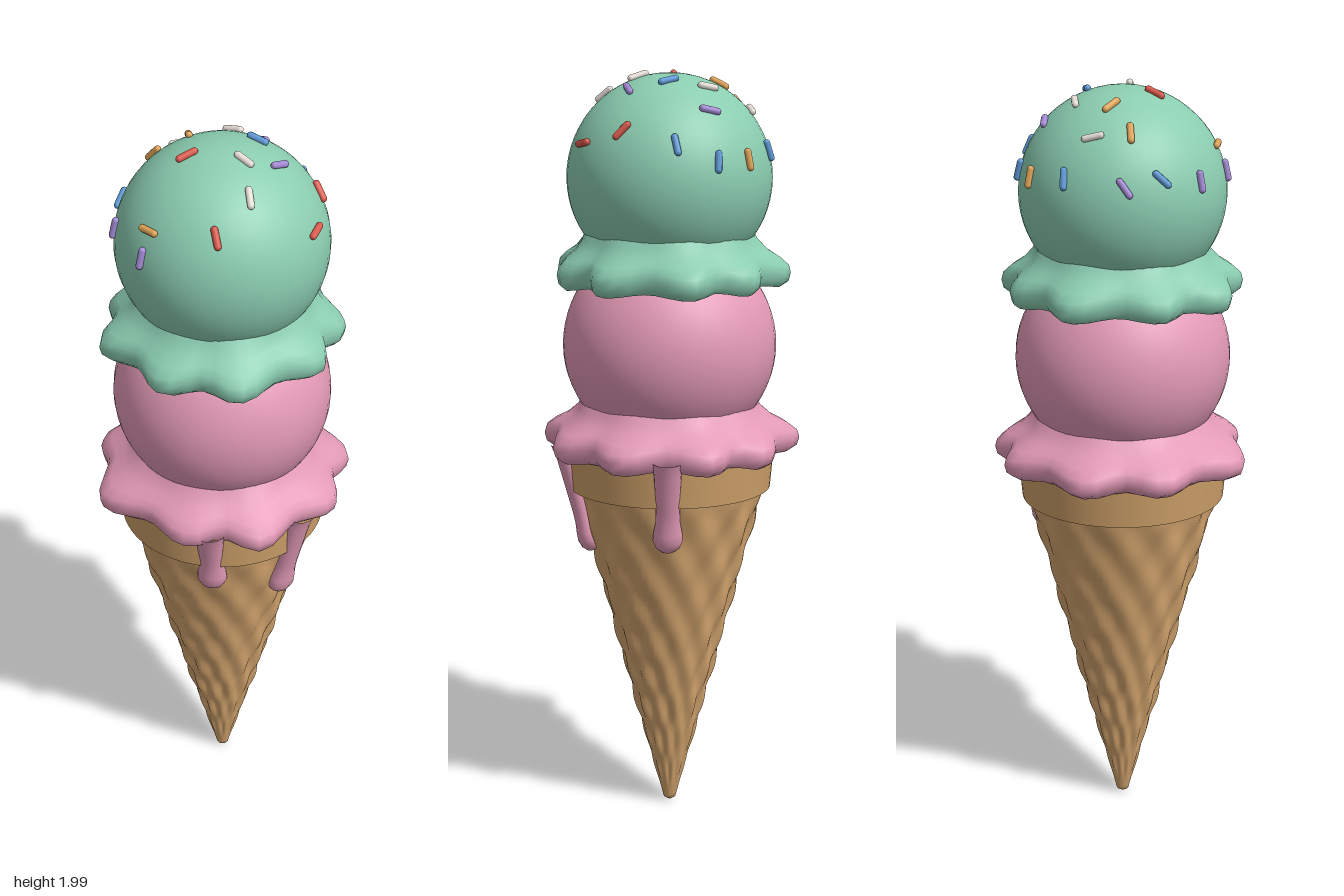
import * as THREE from 'three';

const mat = (name, color) => {
  const m = new THREE.MeshStandardMaterial({ color });
  m.name = name;
  return m;
};

// Closed ring surface: fn(row, theta) returns [radius, y]; rows run upwards on the outside
function ringSurface(rows, segs, fn) {
  const pos = [], index = [];
  for (let i = 0; i <= rows; i++) {
    for (let j = 0; j < segs; j++) {
      const a = (j / segs) * Math.PI * 2;
      const [r, y] = fn(i, a);
      pos.push(r * Math.cos(a), y, r * Math.sin(a));
      if (i < rows) {
        const p = i * segs + j, q = i * segs + (j + 1) % segs;
        index.push(p, p + segs, q, q, p + segs, q + segs);
      }
    }
  }
  const g = new THREE.BufferGeometry();
  g.setAttribute('position', new THREE.Float32BufferAttribute(pos, 3));
  g.setIndex(index);
  g.computeVertexNormals();
  return g;
}

// Ruffled skirt: peaks are [angle in degrees, radius] in rising order
function skirtGeometry(peaks, inner, y0) {
  const profile = [[0, -0.015], [0.45, -0.03], [0.78, -0.036], [0.95, -0.022], [1, 0], [0.95, 0.02],
    [0.75, 0.038], [0.45, 0.056], [0.2, 0.082], [0, 0.12]];
  return ringSurface(profile.length - 1, 54, (i, a) => {
    let deg = a * 180 / Math.PI;
    if (deg < peaks[0][0]) deg += 360;
    let k = peaks.length - 1;
    while (k > 0 && peaks[k][0] > deg) k--;
    const [a0, r0] = peaks[k];
    const next = peaks[(k + 1) % peaks.length];
    const a1 = next[0] + (k + 1 === peaks.length ? 360 : 0);
    const t = (deg - a0) / (a1 - a0);
    const lobe = Math.cos(Math.PI * t) ** 2;
    const outer = THREE.MathUtils.lerp(r0, next[1], t) - 0.042 * (1 - lobe);
    const [f, dy] = profile[i];
    return [inner + (outer - inner) * f, y0 + dy + f * 0.014 * (0.5 - lobe)];
  });
}

export function createModel() {
  const model = new THREE.Group();
  model.name = 'iceCreamCone';
  const CX = -0.006;
  const waffle = mat('waffle', 0xd4a56e);
  const rimMat = mat('waffleRim', 0xcda069);
  const pink = mat('strawberry', 0xe39ab6);
  const mint = mat('mint', 0x8bcdb1);
  const candy = {
    red: mat('redCandy', 0xdb5a4c),
    blue: mat('blueCandy', 0x5f9bd8),
    orange: mat('orangeCandy', 0xe0a458),
    purple: mat('purpleCandy', 0xa58ad6),
    white: mat('whiteCandy', 0xefe8e0),
  };
  const add = (name, geo, material, x = CX, y = 0, z = 0) => {
    const m = new THREE.Mesh(geo, material);
    m.name = name;
    m.position.set(x, y, z);
    model.add(m);
    return m;
  };

  // Cone with a diamond waffle relief and a blunt tip
  const rows = 80, top = 0.92;
  add('cone', ringSurface(rows, 96, (i, a) => {
    if (i === 0) return [0, 0.005];
    const t = (i - 1) / (rows - 1);
    const y = 0.015 + (top - 0.015) * t;
    const relief = 0.008 * Math.min(1, t * 3) * Math.cos(12 * a) * Math.cos(y * Math.PI * 10);
    return [0.016 + 0.235 * t + relief, y];
  }), waffle);

  // Rim band
  add('rim', new THREE.CylinderGeometry(0.277, 0.268, 0.1, 64), rimMat, CX, 0.96);

  // Scoops
  add('lowerScoop', new THREE.SphereGeometry(0.28, 48, 32), pink, CX, 1.29);
  add('upperScoop', new THREE.SphereGeometry(0.266, 48, 32), mint, CX, 1.725);

  // Ruffled skirts under the scoops
  add('lowerSkirt', skirtGeometry([[27.5, 0.329], [73, 0.348], [105.5, 0.329], [153.5, 0.354], [197, 0.345],
    [232.5, 0.35], [278, 0.34], [305.5, 0.336], [350.7, 0.334]], 0.22, 1.042), pink, 0);
  add('upperSkirt', skirtGeometry([[2, 0.305], [34, 0.302], [82, 0.32], [118, 0.318], [161, 0.327],
    [195, 0.306], [242, 0.32], [282, 0.307], [314.4, 0.315]], 0.21, 1.488), mint, 0);

  // Drips hugging the cone: [x, z at the top, lowest y]
  for (const [x, z, low] of [[-0.03, 0.283, 0.81], [0.203, 0.197, 0.73], [0.235, -0.155, 0.775]]) {
    const len = 1.04 - low;
    const bulb = [[0, 0], [0.018, 0.004], [0.032, 0.016], [0.039, 0.036], [0.037, 0.058], [0.032, 0.085],
      [0.031, 0.12], [0.035, len - 0.04], [0.042, len]];
    const geo = new THREE.LatheGeometry(bulb.map(([r, y]) => new THREE.Vector2(r, y - len)), 20);
    geo.scale(1, 1, 0.8);
    geo.rotateX(0.25);
    geo.rotateY(Math.atan2(x, z));
    add('drip', geo, pink, x, 1.04, z);
  }

  // Sprinkles: colour, x, z, then heading in x and z as seen from above
  const sprinkles = [
    ['blue', -0.095, -0.244, 1, 0.85], ['orange', 0.029, -0.267, 0.02, 1], ['blue', 0.124, -0.235, 1, -0.6],
    ['white', -0.12, -0.174, 1, -1], ['purple', 0.081, -0.179, 1, 0.8], ['purple', -0.226, -0.156, 1, -0.75],
    ['white', 0.016, -0.131, 1, 0.6], ['blue', 0.192, -0.152, 0.5, -1], ['orange', -0.177, -0.102, 1, 0.6],
    ['orange', -0.09, -0.097, 0.1, 1], ['blue', -0.256, -0.066, 0.6, -1], ['blue', 0.077, -0.052, 1, 0.55],
    ['red', 0.228, -0.014, 0.8, 1], ['purple', -0.265, 0.048, 1, -0.2], ['red', -0.088, 0.038, 1, -0.4],
    ['purple', 0.131, 0.034, 1, -1.1], ['white', 0.047, 0.061, 1, 0.75], ['red', 0.22, 0.111, 0.4, -1],
    ['orange', -0.174, 0.17, 1, 0.95], ['purple', -0.197, 0.192, 0.9, -0.6], ['white', 0.063, 0.156, 0.2, 1],
    ['red', -0.013, 0.229, 0.4, 1],
  ];
  const capsule = new THREE.CapsuleGeometry(0.009, 0.04, 4, 10);
  const R = 0.27, up = new THREE.Vector3(0, 1, 0);
  for (const [color, x, z, dx, dz] of sprinkles) {
    const dist = Math.hypot(x - CX, z), rho = Math.min(dist, R * 0.975);
    const n = new THREE.Vector3((x - CX) * rho / dist, Math.sqrt(R * R - rho * rho), z * rho / dist);
    const heading = new THREE.Vector3(dx, -(dx * n.x + dz * n.z) / n.y, dz).normalize();
    const s = add('sprinkle', capsule, candy[color], CX + n.x, 1.725 + n.y, n.z);
    s.quaternion.setFromUnitVectors(up, heading);
  }
  return model;
}
